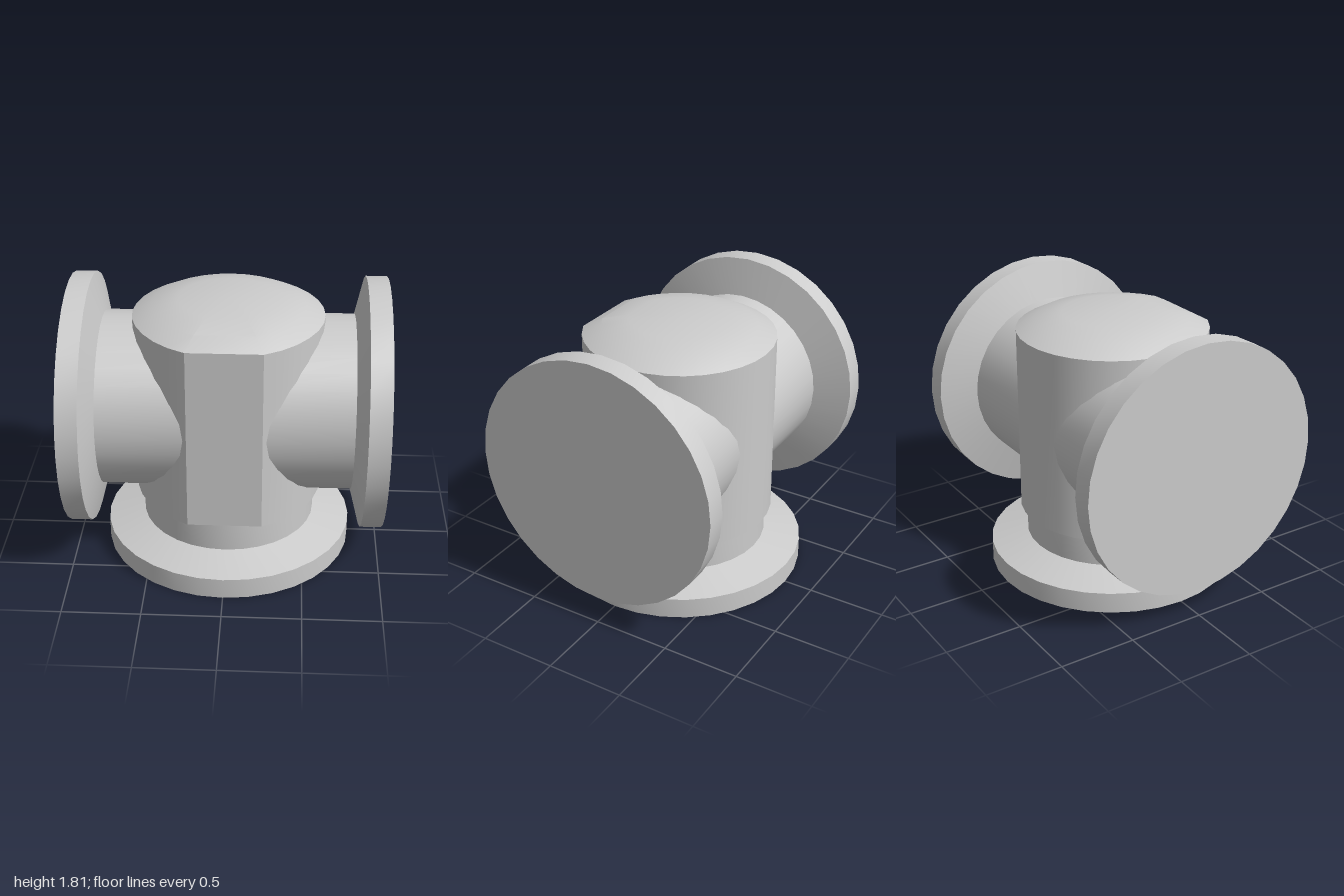
import * as THREE from 'three';
import { toCreasedNormals } from 'three/addons/utils/BufferGeometryUtils.js';

const material = new THREE.MeshStandardMaterial({ color: 0xcccccc });
const SIDES = 32;

// Flange plate, tapered shoulder and neck, standing on y = 0
function flangedNeck(name, length) {
  const profile = [[0, 0], [0.81, 0], [0.81, 0.137], [0.567, 0.2], [0.567, length]]
    .map(([r, y]) => new THREE.Vector2(r, y));
  const mesh = new THREE.Mesh(toCreasedNormals(new THREE.LatheGeometry(profile, SIDES), 0.45), material);
  mesh.name = name;
  return mesh;
}

// Round outline with one flat facet on the front, as [x, z] points
function bodyOutline() {
  const corner = Math.atan2(0.235, 0.58);
  const steps = 28;
  const points = [];
  for (let i = 0; i <= steps; i++) {
    const a = corner + (i / steps) * 2 * (Math.PI - corner);
    const fromFlat = Math.min(a, 2 * Math.PI - a) - corner;
    const r = 0.608 + 0.018 * Math.max(0, 1 - fromFlat / 0.6);
    points.push([r * Math.sin(a), r * Math.cos(a)]);
  }
  return points;
}

// Closed solid made of scaled copies of the outline, rings = [scale, y]
function loft(outline, rings) {
  const n = outline.length;
  const positions = [];
  const indices = [];
  for (const [s, y] of rings) {
    for (const [x, z] of outline) positions.push(x * s, y, z * s);
  }
  for (let k = 0; k < rings.length - 1; k++) {
    for (let i = 0; i < n; i++) {
      const a = k * n + i;
      const b = k * n + (i + 1) % n;
      indices.push(a, b, b + n, a, b + n, a + n);
    }
  }
  const geometry = new THREE.BufferGeometry();
  geometry.setAttribute('position', new THREE.Float32BufferAttribute(positions, 3));
  geometry.setIndex(indices);
  return toCreasedNormals(geometry, 0.27);
}

export function createModel() {
  const group = new THREE.Group();
  group.name = 'pipeTee';

  // Upright body with front flat and shallow domed top
  const body = new THREE.Mesh(loft(bodyOutline(), [
    [0, 0.395], [1, 0.395], [1, 1.61], [0.8, 1.672], [0.52, 1.712], [0, 1.715],
  ]), material);
  body.name = 'body';
  group.add(body);

  // Bottom port
  group.add(flangedNeck('bottomFlange', 0.42));

  // Side ports, mirrored
  for (const side of [1, -1]) {
    const port = flangedNeck(side > 0 ? 'leftFlange' : 'rightFlange', 1);
    port.rotation.z = side * Math.PI / 2;
    port.position.set(side, 1, 0);
    group.add(port);
  }
  return group;
}
